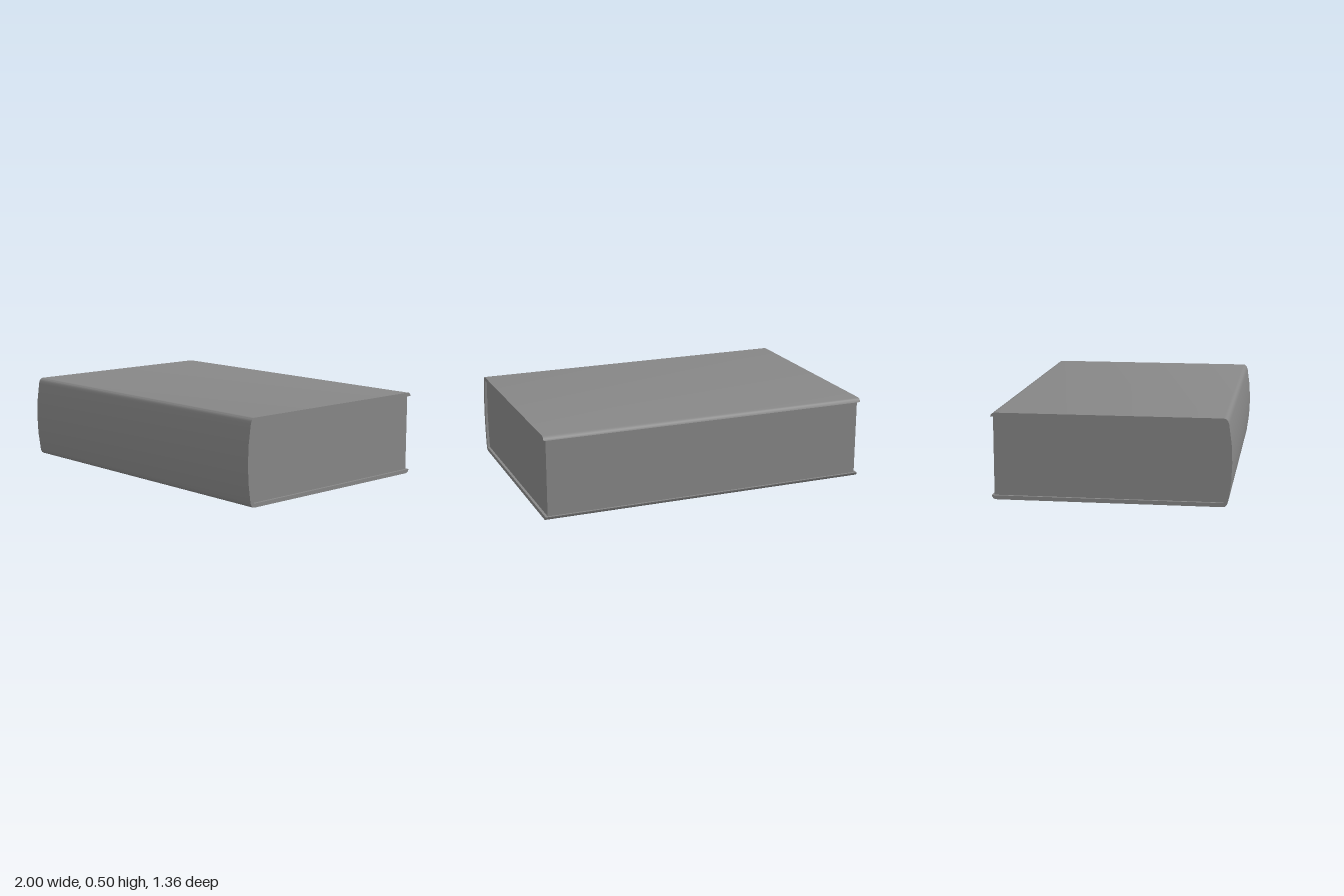
import * as THREE from 'three';
import { toCreasedNormals } from 'three/addons/utils/BufferGeometryUtils.js';

const H = 0.5, T = 0.023, BACK = -0.68;

// Extrudes a (z, y) profile along x, centred on x = 0
function extrudeAlongX(shape, width) {
  const geo = new THREE.ExtrudeGeometry(shape, { depth: width, bevelEnabled: false, curveSegments: 4 });
  geo.rotateY(-Math.PI / 2);
  geo.translate(width / 2, 0, 0);
  return toCreasedNormals(geo, 0.6);
}

// Inner bowed spine line, from the bottom board to the top board
function innerSpine(path) {
  path.lineTo(0.634, T);
  path.quadraticCurveTo(0.676, H / 2, 0.634, H - T);
}

export function createModel() {
  const book = new THREE.Group();
  book.name = 'book';
  const material = new THREE.MeshStandardMaterial({ color: 0x878787 });
  const add = (name, shape, width) => {
    const mesh = new THREE.Mesh(extrudeAlongX(shape, width), material);
    mesh.name = name;
    book.add(mesh);
  };

  // Wraparound cover: two boards joined by a bowed spine, with rounded edges
  const cover = new THREE.Shape();
  cover.moveTo(BACK, H - T);
  cover.quadraticCurveTo(BACK + 0.005, H, BACK + 0.03, H);
  cover.lineTo(0.63, H);
  cover.quadraticCurveTo(0.653, H, 0.66, H - 0.035);
  cover.quadraticCurveTo(0.699, H / 2, 0.66, 0.035);
  cover.quadraticCurveTo(0.653, 0, 0.63, 0);
  cover.lineTo(BACK + 0.03, 0);
  cover.quadraticCurveTo(BACK + 0.005, 0, BACK, T);
  innerSpine(cover);
  cover.closePath();
  add('cover', cover, 2);

  // Page block, slightly inset from the cover edges
  const pages = new THREE.Shape();
  pages.moveTo(-0.667, T);
  innerSpine(pages);
  pages.lineTo(-0.667, H - T);
  pages.closePath();
  add('pages', pages, 1.97);

  return book;
}
